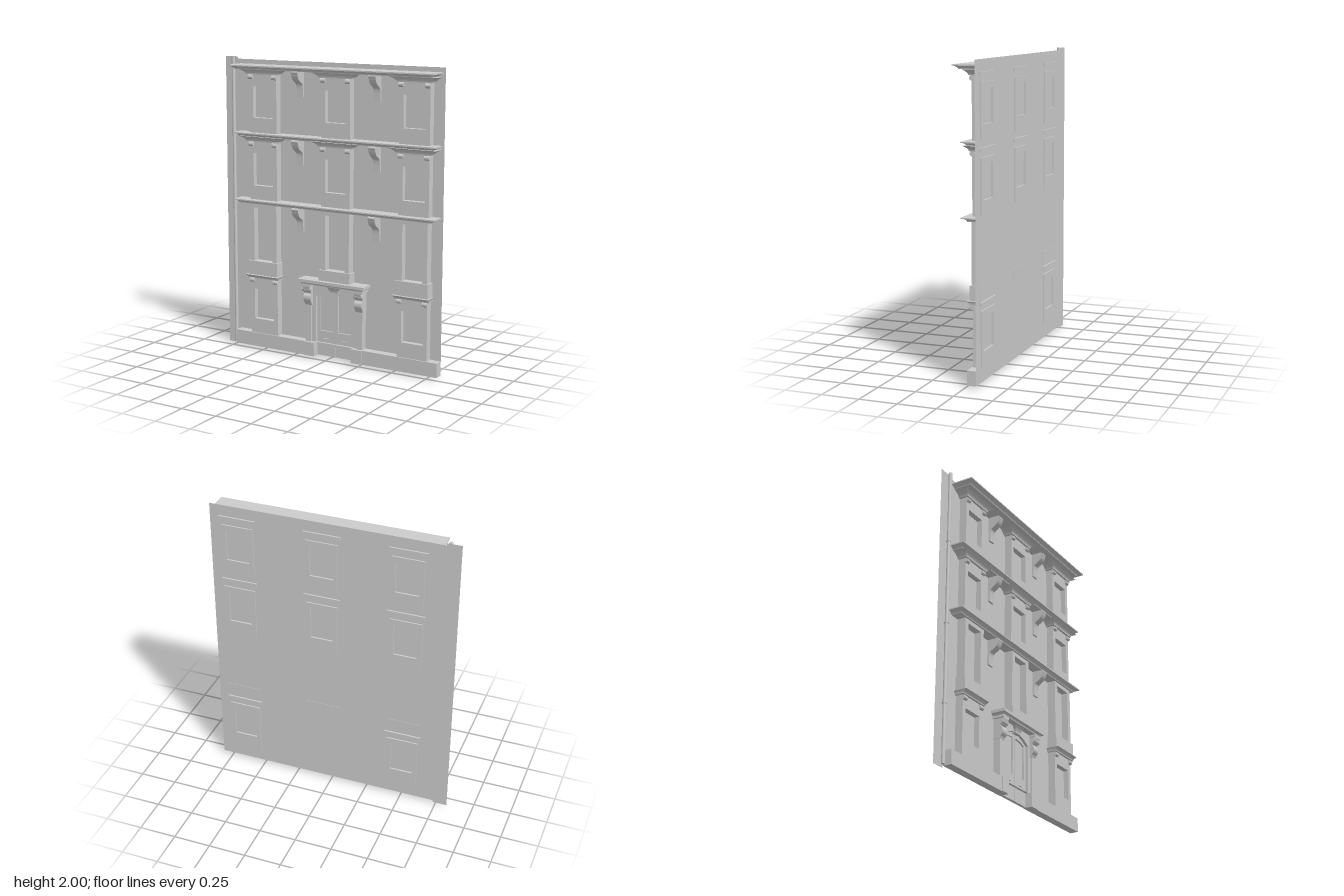
import * as THREE from 'three';

const WALL = -0.071; // depth of the wall sheet
const CX = 0.05; // axis of the entrance and cornices

export function createModel() {
  const root = new THREE.Group();
  const mat = new THREE.MeshStandardMaterial({ color: 0xcccccc, flatShading: true, side: THREE.DoubleSide });
  const smooth = new THREE.MeshStandardMaterial({ color: 0xcccccc, side: THREE.DoubleSide });

  const add = (name, geo, m = mat) => {
    const mesh = new THREE.Mesh(geo, m);
    mesh.name = name;
    root.add(mesh);
    return mesh;
  };
  const box = (name, x0, x1, y0, y1, z0, z1) =>
    add(name, new THREE.BoxGeometry(x1 - x0, y1 - y0, z1 - z0))
      .position.set((x0 + x1) / 2, (y0 + y1) / 2, (z0 + z1) / 2);

  const rect = (x0, x1, y0, y1, C = THREE.Shape) => new C([
    [x0, y0], [x1, y0], [x1, y1], [x0, y1],
  ].map(([x, y]) => new THREE.Vector2(x, y)));

  // Arched outline: straight sides and a shallow curved head
  const arch = (x0, x1, y0, ySide, yMid, C = THREE.Shape) => {
    const s = new C();
    s.moveTo(x0, y0);
    s.lineTo(x1, y0);
    s.lineTo(x1, ySide);
    s.quadraticCurveTo((x0 + x1) / 2, 2 * yMid - ySide, x0, ySide);
    s.closePath();
    return s;
  };
  const extrude = (name, shape, z0, z1) =>
    add(name, new THREE.ExtrudeGeometry(shape, { depth: z1 - z0, bevelEnabled: false, curveSegments: 10 }))
      .position.setZ(z0);

  // Moulding that widens toward the top on the sides and the front
  const moulding = (name, cx, halfLow, halfTop, y0, y1, zBack, zLow, zTop, steps = 4) => {
    const geo = new THREE.BoxGeometry(2, 1, 1, 1, steps, 1);
    const p = geo.attributes.position;
    for (let i = 0; i < p.count; i++) {
      const t = p.getY(i) + 0.5;
      const f = t * t;
      const half = halfLow + (halfTop - halfLow) * f;
      const z = p.getZ(i) < 0 ? zBack : zLow + (zTop - zLow) * f;
      p.setXYZ(i, cx + p.getX(i) * half, y0 + (y1 - y0) * t, z);
    }
    geo.computeVertexNormals();
    return add(name, geo);
  };

  // Side profile [z, y] swept across x
  const bracket = (name, cx, width, yTop, pts) => {
    const [first, ...rest] = pts;
    const s = new THREE.Shape();
    s.moveTo(-first[0], first[1]);
    s.splineThru(rest.slice(0, -2).map(([z, y]) => new THREE.Vector2(-z, y)));
    rest.slice(-2).forEach(([z, y]) => s.lineTo(-z, y));
    const geo = new THREE.ExtrudeGeometry(s, { depth: width, bevelEnabled: false, curveSegments: 18 });
    geo.rotateY(Math.PI / 2);
    add(name, geo).position.set(cx - width / 2, yTop, 0);
  };

  const columns = [-0.4975, 0.065, 0.635];
  const sides = [columns[0], columns[2]];
  const windows = []; // [centre, opening bottom, opening top, frame bottom, frame top, hood bottom, hood top]
  for (const cx of columns) {
    windows.push([cx, 1.6, 1.81, 1.5, 1.85, 1.89, 1.926]);
    windows.push([cx, 1.14, 1.36, 1.045, 1.4, 1.44, 1.476]);
  }
  for (const cx of sides) windows.push([cx, 0.21, 0.42, 0.11, 0.465, 0.5, 0.525]);

  // Wall sheet with openings, and the side strip behind the pipe
  const wall = rect(-0.73, 0.82, 0.015, 1.985);
  for (const [cx, y0, y1] of windows) wall.holes.push(rect(cx - 0.078, cx + 0.078, y0, y1, THREE.Path));
  wall.holes.push(arch(-0.093, 0.193, 0.02, 0.43, 0.475, THREE.Path));
  add('wall', new THREE.ShapeGeometry(wall)).position.z = WALL;
  add('sideStrip', new THREE.ShapeGeometry(rect(-0.827, -0.73, 0, 2))).position.z = WALL;

  // Windows with projecting surround, scrolls and hood
  for (const [cx, y0, y1, b, t, h0, h1] of windows) {
    const s = rect(cx - 0.108, cx + 0.108, b, t);
    s.holes.push(rect(cx - 0.078, cx + 0.078, y0, y1, THREE.Path));
    extrude('windowSurround', s, -0.08, -0.02);
    box('windowPane', cx - 0.078, cx + 0.078, y0, y1, -0.068, -0.056);
    box('windowFrieze', cx - 0.108, cx + 0.108, t, h0, WALL, -0.02);
    const flare = h0 > 1 ? 0.17 : 0.13;
    moulding('windowHood', cx, 0.123, flare, h0, h1, WALL, -0.005, 0.018);
    box('hoodBack', cx - 0.123, cx + 0.123, h0 - 0.005, h0 + 0.02, -0.082, WALL);
    for (const sx of [-1, 1]) {
      const scroll = add('hoodScroll', new THREE.CylinderGeometry(0.016, 0.016, 0.036, 14));
      scroll.rotation.z = Math.PI / 2;
      scroll.position.set(cx + sx * 0.093, h0 - 0.017, -0.021);
    }
  }

  // Tall windows standing on balcony boxes
  for (const cx of columns) {
    const s = rect(cx - 0.106, cx + 0.106, 0.6, 1.02);
    s.holes.push(rect(cx - 0.073, cx + 0.073, 0.61, 0.99, THREE.Path));
    extrude('tallWindowSurround', s, WALL, -0.013);
    box('tallWindowPane', cx - 0.073, cx + 0.073, 0.61, 0.99, WALL, -0.06);
    box('balcony', cx - 0.117, cx + 0.117, cx === 0.065 ? 0.545 : 0.523, 0.62, -0.073, -0.002);
  }

  // Cornices: the crowning one is deeper than the floor bands
  for (const [y, z] of [[1.955, 0.082], [1.5, 0.03], [1.045, 0.03]]) {
    box('corniceTop', CX - 0.757, CX + 0.757, y - 0.008, y, WALL, z);
    moulding('corniceMoulding', CX, 0.725, 0.748, y - 0.028, y - 0.008, WALL, z - 0.03, z - 0.008);
  }

  // Scrolled corbels between the windows
  for (const cx of [-0.23, 0.348]) for (const y of [1.927, 1.473, 1.018]) {
    bracket('corbel', cx, 0.05, y, [[WALL, 0], [0.006, -0.002], [0.007, -0.028], [-0.006, -0.056],
      [-0.026, -0.072], [-0.05, -0.09], [-0.056, -0.12], [-0.058, -0.175], [WALL, -0.175]]);
  }

  // Plinth, with pedestals beside the door
  box('plinth', -0.725, -0.165, 0.015, 0.11, WALL, -0.012);
  box('plinth', 0.27, 0.82, 0.015, 0.11, WALL, -0.012);
  box('pedestal', -0.165, -0.093, 0.015, 0.11, WALL, -0.005);
  box('pedestal', 0.193, 0.27, 0.015, 0.11, WALL, -0.005);

  // Entrance: frame, pilasters, consoles and entablature
  const frame = rect(-0.125, 0.228, 0.11, 0.515);
  frame.holes.push(arch(-0.093, 0.193, 0.11, 0.43, 0.475, THREE.Path));
  extrude('doorFrame', frame, WALL, -0.035);
  for (const sx of [-1, 1]) {
    const px = CX + sx * 0.198;
    box('pilaster', px - 0.021, px + 0.021, 0.11, 0.515, WALL, -0.024);
    bracket('console', px - sx * 0.003, 0.055, 0.512, [[WALL, 0], [0.0, -0.004], [0.005, -0.03],
      [-0.008, -0.056], [-0.016, -0.066], [-0.004, -0.085], [-0.004, -0.11], [-0.018, -0.132],
      [-0.024, -0.148], [WALL, -0.148]]);
    box('consoleCap', px - 0.036, px + 0.036, 0.498, 0.514, WALL, 0.008);
    const volute = add('consoleVolute', new THREE.CylinderGeometry(0.016, 0.016, 0.07, 14));
    volute.rotation.z = Math.PI / 2;
    volute.position.set(px, 0.474, -0.012);
  }
  moulding('entablature', CX, 0.232, 0.245, 0.512, 0.528, WALL, 0.008, 0.018);
  box('entablatureTop', CX - 0.252, CX + 0.252, 0.528, 0.548, WALL, 0.027);
  moulding('keystone', CX, 0.03, 0.05, 0.465, 0.51, WALL, -0.025, -0.006);

  // Double door with arched panels
  const door = arch(-0.093, 0.193, 0.018, 0.43, 0.475);
  for (const sx of [-1, 1]) {
    const xIn = CX + sx * 0.018, xOut = CX + sx * 0.12;
    const p = new THREE.Path();
    p.moveTo(xIn, 0.19);
    p.lineTo(xOut, 0.19);
    p.lineTo(xOut, 0.422);
    p.quadraticCurveTo(CX + sx * 0.08, 0.442, xIn, 0.443);
    p.closePath();
    door.holes.push(p);
    box('doorPanel', Math.min(xIn, xOut), Math.max(xIn, xOut), 0.19, 0.443, WALL, -0.064);
    box('doorHandle', CX + sx * 0.07 - 0.015, CX + sx * 0.07 + 0.015, 0.135, 0.141, -0.052, -0.044);
  }
  extrude('door', door, WALL, -0.052);
  box('doorMeetingStrip', CX - 0.004, CX + 0.004, 0.018, 0.47, -0.054, -0.047);

  // Rainwater pipe with clips
  add('rainPipe', new THREE.CylinderGeometry(0.012, 0.012, 1.985, 14), smooth).position.set(-0.752, 1.0075, -0.052);
  for (const y of [0.4, 0.93, 1.5]) {
    add('pipeClip', new THREE.CylinderGeometry(0.015, 0.015, 0.014, 14), smooth).position.set(-0.752, y, -0.052);
    box('pipeClipArm', -0.757, -0.747, y - 0.005, y + 0.005, WALL, -0.055);
  }
  return root;
}
